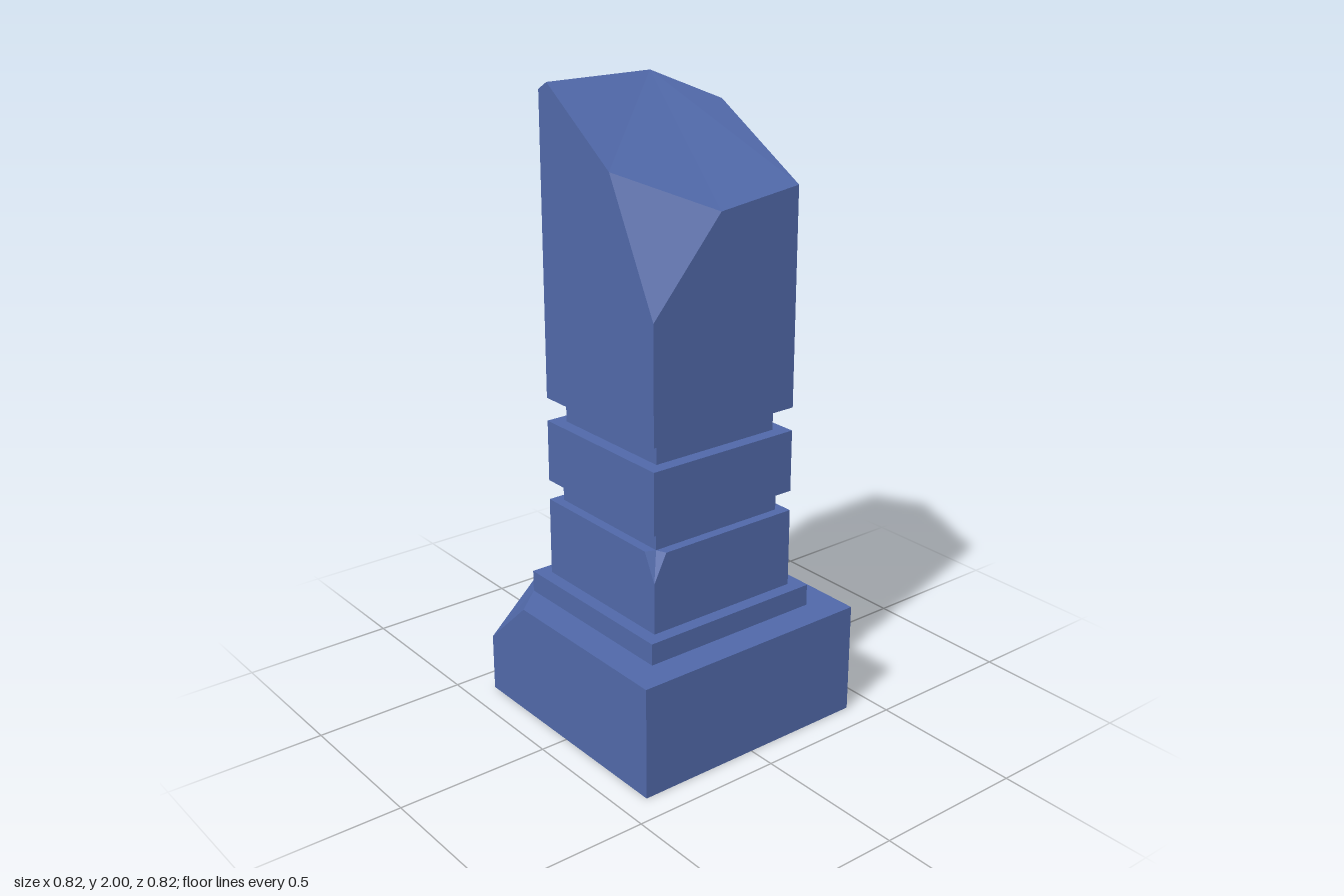
import * as THREE from 'three';

const stone = new THREE.MeshStandardMaterial({ color: 0x5068a8, flatShading: true });

// Solid from named corners; each face is a string of corner names, counter-clockwise from outside
function solid(name, corners, faces) {
  const positions = [];
  for (const face of faces) {
    const p = [...face].map((key) => corners[key]);
    for (let i = 1; i < p.length - 1; i++) positions.push(...p[0], ...p[i], ...p[i + 1]);
  }
  const geometry = new THREE.BufferGeometry();
  geometry.setAttribute('position', new THREE.Float32BufferAttribute(positions, 3));
  geometry.computeVertexNormals();
  const mesh = new THREE.Mesh(geometry, stone);
  mesh.name = name;
  return mesh;
}

// Square slab given by its half width and its height range
function slab(name, half, y0, y1) {
  const mesh = new THREE.Mesh(new THREE.BoxGeometry(half * 2, y1 - y0, half * 2), stone);
  mesh.position.y = (y0 + y1) / 2;
  mesh.name = name;
  return mesh;
}

// Lower corners of a square block
const foot = (h, y) => ({ a: [-h, y, -h], b: [h, y, -h], c: [h, y, h], d: [-h, y, h] });

// Square block whose +x +z top corner is broken off, back to the point (inner, inner)
function chippedSlab(name, h, y0, y1, chip, drop, inner) {
  return solid(name, {
    ...foot(h, y0),
    A: [-h, y1, -h], B: [h, y1, -h], D: [-h, y1, h],
    P: [h, y1, h - chip], Q: [h - chip, y1, h],
    R: [h, y1 - drop, h], I: [inner, y1, inner],
  }, ['abcd', 'ADQIPB', 'dcRQD', 'cbBPR', 'baAB', 'adDA', 'IQR', 'IRP']);
}

export function createModel() {
  const pillar = new THREE.Group();
  pillar.name = 'brokenPillar';

  // Base, with its broken corner turned to the front right
  const base = chippedSlab('base', 0.41, 0, 0.365, 0.19, 0.175, 0.31);
  base.rotation.y = -Math.PI / 2;
  pillar.add(base);

  // Stepped shaft
  const w = 0.267;
  pillar.add(
    slab('plinth', 0.31, 0.365, 0.435),
    chippedSlab('lowerShaft', w, 0.435, 0.69, 0.045, 0.09, 0.235),
    slab('lowerGroove', 0.235, 0.69, 0.755),
    slab('middleBand', w, 0.755, 0.955),
    slab('upperGroove', 0.225, 0.955, 1.03),
  );

  // Upper shaft with a slanted break and chipped corners
  pillar.add(solid('brokenUpperShaft', {
    ...foot(w, 1.03),
    A: [-w, 1.975, w], B: [-0.225, 2, w], C: [0.07, 1.79, w], D: [w, 1.4, w],
    E: [w, 1.68, 0.025], F: [w, 1.715, -w], G: [-0.08, 1.917, -w],
    H: [-w, 1.815, -w], I: [-w, 1.975, -0.105], J: [-0.222, 2, -0.105],
  }, ['abcd', 'dcDCBA', 'cbFED', 'baHGF', 'adAIH', 'ABJI', 'HIJG', 'JBCEFG', 'CDE']));

  return pillar;
}
